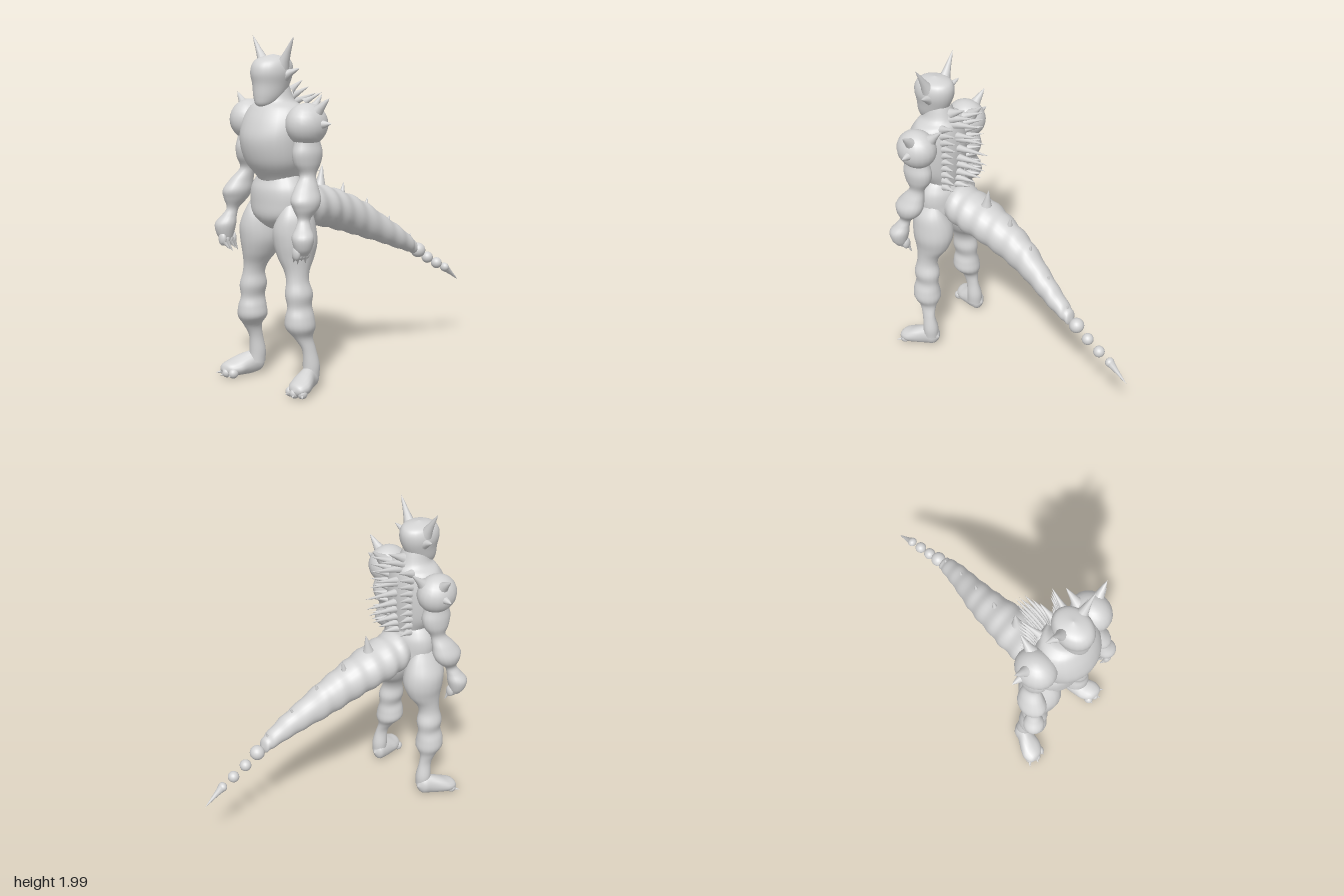
import * as THREE from 'three';

const hide = new THREE.MeshStandardMaterial({ color: 0xd4d4d4 });
hide.name = 'grey hide';

// Smooth skin over elliptical rings [x, y, z, a, b].
// axis 'y': flat rings listed bottom to top; axis 'z': upright rings listed front to back.
function loft(name, rings, axis = 'y', sides = 24, steps = 5) {
  const pos = [], index = [];
  const centre = new THREE.CatmullRomCurve3(rings.map(r => new THREE.Vector3(r[0], r[1], r[2])), false, 'catmullrom', 0.5);
  const size = new THREE.CatmullRomCurve3(rings.map(r => new THREE.Vector3(r[3], r[4], 0)), false, 'catmullrom', 0.5);
  const rows = (rings.length - 1) * steps;
  for (let i = 0; i <= rows; i++) {
    const c = centre.getPoint(i / rows), s = size.getPoint(i / rows);
    const a = Math.max(s.x, 0.0005), b = Math.max(s.y, 0.0005);
    for (let j = 0; j < sides; j++) {
      const t = j / sides * Math.PI * 2, u = a * Math.cos(t), v = b * Math.sin(t);
      if (axis === 'y') pos.push(c.x + u, c.y, c.z + v);
      else pos.push(c.x + u, c.y + v, c.z);
      if (i < rows) {
        const p = i * sides + j, q = i * sides + (j + 1) % sides;
        index.push(p, p + sides, q, q, p + sides, q + sides);
      }
    }
  }
  const g = new THREE.BufferGeometry();
  g.setAttribute('position', new THREE.Float32BufferAttribute(pos, 3));
  g.setIndex(index);
  g.computeVertexNormals();
  return named(name, g);
}

function named(name, geometry) {
  const m = new THREE.Mesh(geometry, hide);
  m.name = name;
  return m;
}

// Ellipsoid lump
function blob(name, p, r) {
  const m = named(name, new THREE.SphereGeometry(1, 20, 14));
  m.position.set(...p);
  m.scale.set(...r);
  return m;
}

// Flared thorn from base point to tip
function spike(name, base, tip, r) {
  const a = new THREE.Vector3(...base), d = new THREE.Vector3(...tip).sub(a), h = d.length();
  const profile = [[r, 0], [r * 0.68, h * 0.22], [r * 0.42, h * 0.5], [r * 0.22, h * 0.78], [0, h]];
  const m = named(name, new THREE.LatheGeometry(profile.map(p => new THREE.Vector2(...p)), 10));
  m.position.copy(a);
  m.quaternion.setFromUnitVectors(new THREE.Vector3(0, 1, 0), d.normalize());
  return m;
}

export function createModel() {
  const model = new THREE.Group();
  model.name = 'spikedCreature';

  // Torso and head
  model.add(loft('abdomen', [
    [0, 0.9, 0.65, 0, 0], [0, 0.93, 0.65, 0.06, 0.07], [0, 0.99, 0.64, 0.165, 0.125], [0, 1.07, 0.64, 0.185, 0.13],
    [0, 1.14, 0.64, 0.18, 0.125], [0, 1.19, 0.64, 0.155, 0.105], [0, 1.23, 0.64, 0.12, 0.09]]));
  model.add(loft('chest', [
    [0, 1.15, 0.63, 0.1, 0.09], [0, 1.21, 0.64, 0.125, 0.115], [0, 1.3, 0.665, 0.18, 0.155], [0, 1.42, 0.675, 0.2, 0.175],
    [0, 1.52, 0.665, 0.198, 0.16], [0, 1.6, 0.65, 0.165, 0.13], [0, 1.64, 0.645, 0.1, 0.1], [0, 1.72, 0.65, 0.07, 0.08]]));
  model.add(loft('head', [
    [0, 1.602, 0.735, 0, 0], [0, 1.615, 0.73, 0.045, 0.055], [0, 1.66, 0.705, 0.075, 0.092], [0, 1.73, 0.685, 0.092, 0.115],
    [0, 1.79, 0.68, 0.105, 0.13], [0, 1.84, 0.675, 0.098, 0.123], [0, 1.872, 0.67, 0.072, 0.088], [0, 1.893, 0.67, 0, 0]]));

  // Arms, legs and their thorns, mirrored; the model's own right side spreads slightly wider
  for (const s of [1, -1]) {
    const w = s < 0 ? 0.012 : -0.012;
    const side = new THREE.Group();
    side.name = s > 0 ? 'leftSide' : 'rightSide';
    model.add(side);
    const X = (x, k = 1) => s * (x + w * k);
    const limb = (name, rings, axis) => side.add(loft(name, rings.map(([x, y, z, a, b, k = 1]) => [X(x, k), y, z, a, b]), axis, 18));
    const thorn = (name, [x, y, z], [tx, ty, tz], r, k = 0) => side.add(spike(name, [X(x, k), y, z], [X(tx, k), ty, tz], r));

    side.add(blob('shoulder', [s * 0.228, 1.515, 0.635], [0.11, 0.118, 0.128]));
    limb('arm', [
      [0.315, 0.81, 0.745, 0.03, 0.03], [0.322, 0.85, 0.75, 0.05, 0.05], [0.32, 0.91, 0.748, 0.062, 0.062],
      [0.305, 0.96, 0.73, 0.042, 0.045], [0.293, 1.005, 0.712, 0.032, 0.04], [0.288, 1.06, 0.692, 0.062, 0.078],
      [0.28, 1.11, 0.685, 0.073, 0.095], [0.265, 1.17, 0.665, 0.058, 0.075], [0.245, 1.235, 0.64, 0.042, 0.05, 0.5],
      [0.235, 1.3, 0.635, 0.064, 0.085, 0.3], [0.232, 1.36, 0.635, 0.07, 0.097, 0], [0.23, 1.42, 0.635, 0.062, 0.082, 0],
      [0.225, 1.5, 0.635, 0.06, 0.07, 0]]);
    // Curled fingers
    for (let i = 0; i < 4; i++) {
      const z = 0.785 - i * 0.025;
      side.add(blob('knuckle', [X(0.305), 0.825, z], [0.028, 0.04, 0.02]));
      thorn('fingerClaw', [0.295, 0.81, z], [0.262 + i * 0.006, 0.765 - (i % 2) * 0.015, z - 0.02], 0.018, 1);
    }
    limb('leg', [
      [0.225, 0.08, 0.61, 0.045, 0.05, 0], [0.225, 0.15, 0.608, 0.047, 0.05, 0], [0.222, 0.24, 0.622, 0.033, 0.045, 0],
      [0.212, 0.31, 0.643, 0.045, 0.06], [0.2, 0.37, 0.655, 0.082, 0.09], [0.198, 0.43, 0.658, 0.077, 0.088],
      [0.195, 0.49, 0.655, 0.06, 0.078], [0.19, 0.56, 0.655, 0.073, 0.085], [0.182, 0.63, 0.657, 0.06, 0.07],
      [0.17, 0.69, 0.65, 0.067, 0.078], [0.15, 0.76, 0.635, 0.092, 0.112], [0.14, 0.84, 0.63, 0.115, 0.133],
      [0.138, 0.92, 0.635, 0.112, 0.133], [0.14, 1.0, 0.64, 0.083, 0.11, 0], [0.14, 1.07, 0.64, 0.04, 0.07, 0]]);
    limb('foot', [
      [0.295, 0.045, 0.808, 0, 0], [0.29, 0.048, 0.79, 0.05, 0.032], [0.278, 0.054, 0.74, 0.074, 0.047],
      [0.262, 0.064, 0.69, 0.068, 0.06], [0.238, 0.075, 0.63, 0.053, 0.068], [0.228, 0.078, 0.58, 0.044, 0.055],
      [0.226, 0.078, 0.55, 0, 0]], 'z');
    for (const [x, z] of [[0.24, 0.775], [0.285, 0.785], [0.325, 0.765]]) {
      side.add(blob('toe', [X(x), 0.03, z], [0.027, 0.029, 0.03]));
      thorn('toeClaw', [x, 0.025, z], [x + (x - 0.24) * 0.45, 0.018, z + 0.04], 0.018, 1);
    }

    thorn('crownHorn', [0.07, 1.83, 0.665], [0.166, 1.995, 0.668], 0.042);
    thorn('earHorn', [0.07, 1.775, 0.655], [0.172, 1.82, 0.63], 0.042);
    thorn('shoulderSpikeUpper', [0.265, 1.56, 0.625], [0.375, 1.665, 0.605], 0.055);
    thorn('shoulderSpikeOuter', [0.285, 1.515, 0.62], [0.39, 1.527, 0.605], 0.05);
    thorn('shoulderSpikeBack', [0.19, 1.58, 0.56], [0.185, 1.67, 0.47], 0.04);

    // Outer rows of back spines
    for (let i = 0; i < 10; i++) {
      const y = 1.62 - i * 0.045, long = i < 4 ? 0.02 : 0;
      thorn('sideSpine', [0.1, y, 0.54], [0.13, y + 0.055 - i * 0.004, 0.435 - long], 0.026);
    }
  }

  // Central row of back spines: [height at tip, depth of tip]
  const spines = [[1.74, 0.44], [1.7, 0.39], [1.66, 0.33], [1.58, 0.35], [1.56, 0.3], [1.49, 0.27], [1.42, 0.28],
    [1.37, 0.3], [1.31, 0.33], [1.26, 0.38], [1.21, 0.42]];
  spines.forEach(([y, z], i) => model.add(spike('backSpine', [0, y - 0.06 + i * 0.004, 0.55], [0, y, z], 0.032)));

  // Tail, swelling and pinching along its length
  const tailCurve = [
    [0, 1.06, 0.62, 0.1, 0.1], [-0.008, 1.045, 0.5, 0.14, 0.13], [-0.008, 1.02, 0.4, 0.145, 0.133],
    [-0.006, 0.995, 0.28, 0.137, 0.128], [0.0, 0.96, 0.17, 0.12, 0.127], [0.01, 0.915, 0.05, 0.105, 0.122],
    [0.027, 0.865, -0.06, 0.092, 0.112], [0.055, 0.8, -0.18, 0.077, 0.09], [0.078, 0.745, -0.28, 0.066, 0.076],
    [0.092, 0.693, -0.37, 0.054, 0.057], [0.097, 0.66, -0.42, 0.04, 0.042]];
  const tailRings = [];
  tailCurve.forEach((r, i) => {
    const n = tailCurve[i + 1];
    tailRings.push(r);
    if (n) tailRings.push(r.map((v, k) => (v + n[k]) / 2 * (k > 2 ? 0.94 : 1)));
  });
  tailRings.push([0.098, 0.652, -0.435, 0, 0]);
  model.add(loft('tail', tailRings, 'z'));
  for (const [x, y, z, r] of [[0.1, 0.632, -0.467, 0.046], [0.104, 0.573, -0.553, 0.036], [0.108, 0.524, -0.64, 0.035]])
    model.add(blob('tailBead', [x, y, z], [r, r, r]));
  model.add(blob('tailTipRoot', [0.109, 0.484, -0.72], [0.03, 0.028, 0.026]));
  model.add(spike('tailTip', [0.109, 0.482, -0.722], [0.114, 0.383, -0.85], 0.029));
  for (const [x, y, z, r] of [[-0.005, 1.24, 0.28, 0.045], [0, 1.118, 0.105, 0.04], [0.03, 1.01, -0.072, 0.034],
    [0.065, 0.885, -0.235, 0.028], [0.095, 0.752, -0.4, 0.024]])
    model.add(spike('tailSpine', [x, y - r * 3.2, z + 0.025], [x, y, z], r));

  return model;
}
